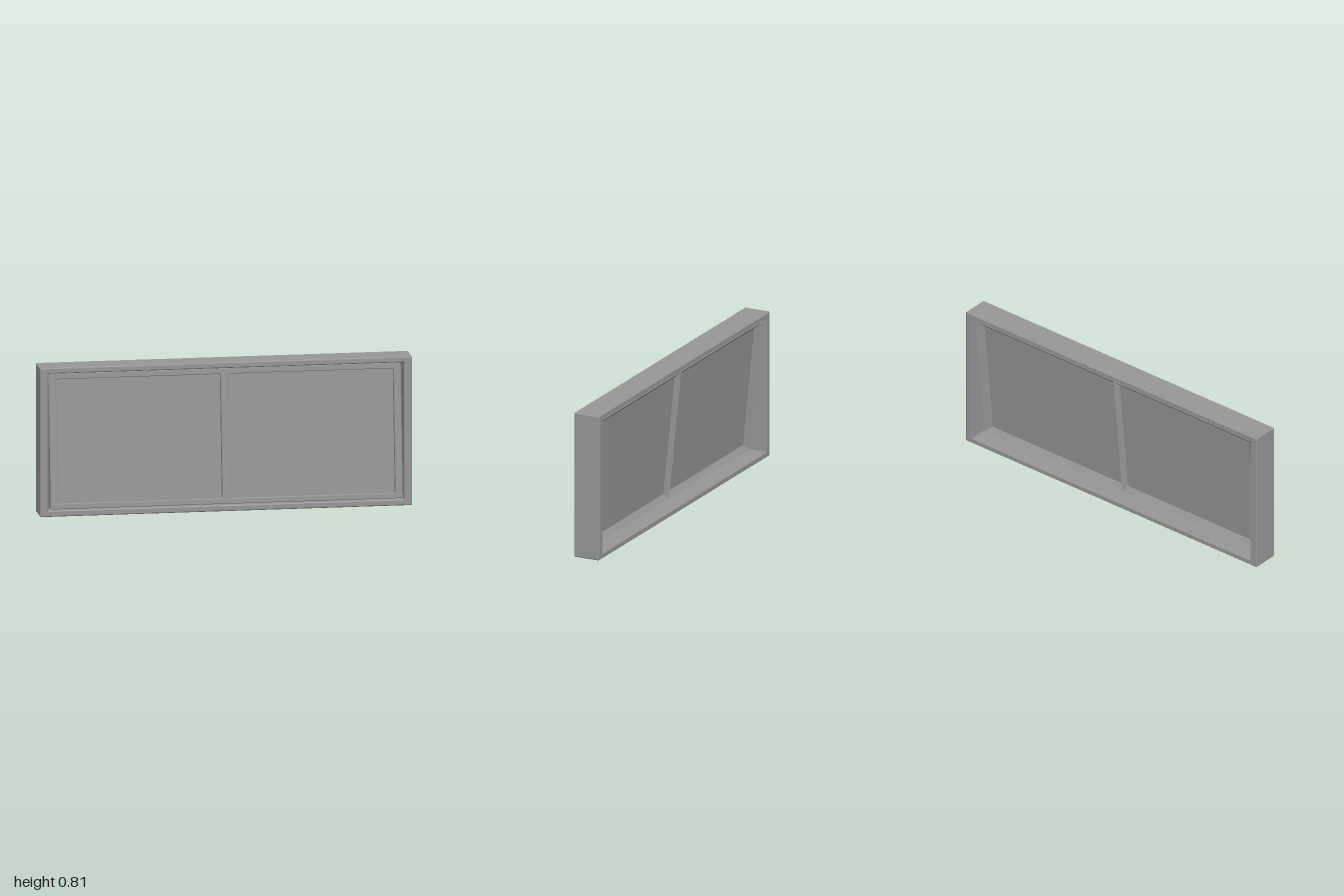
import * as THREE from 'three';

const material = new THREE.MeshStandardMaterial({ color: 0x969696 });

// Rectangle outline with small cut corners
function rect(Type, x0, y0, x1, y1, c) {
  const p = new Type();
  p.moveTo(x0 + c, y0);
  p.lineTo(x1 - c, y0);
  p.lineTo(x1, y0 + c);
  p.lineTo(x1, y1 - c);
  p.lineTo(x1 - c, y1);
  p.lineTo(x0 + c, y1);
  p.lineTo(x0, y1 - c);
  p.lineTo(x0, y0 + c);
  p.closePath();
  return p;
}

// Chamfered slab with rectangular openings, its front face at z = 0
function openFrame(name, outer, openings, depth, bevel) {
  const shape = rect(THREE.Shape, ...outer, bevel);
  openings.forEach((o) => shape.holes.push(rect(THREE.Path, ...o, 0.001)));
  const geometry = new THREE.ExtrudeGeometry(shape, {
    depth: depth - 2 * bevel,
    bevelEnabled: true,
    bevelThickness: bevel,
    bevelSize: bevel,
    bevelOffset: -bevel,
    bevelSegments: 1,
  });
  geometry.translate(0, 0, bevel - depth);
  const mesh = new THREE.Mesh(geometry, material);
  mesh.name = name;
  return mesh;
}

// Sloping rim on the back: short outer walls, then splayed faces down to the opening
function splayedRim(name, outer, opening, zWall, zRidge, zGlass) {
  const ring = ([x0, y0, x1, y1], z) => [[x0, y0, z], [x1, y0, z], [x1, y1, z], [x0, y1, z]];
  const rings = [ring(outer, zWall), ring(outer, zRidge), ring(opening, zGlass)];
  const points = [];
  for (let r = 0; r < 2; r++) {
    for (let i = 0; i < 4; i++) {
      const j = (i + 1) % 4;
      const [a, b, c, d] = [rings[r][i], rings[r][j], rings[r + 1][j], rings[r + 1][i]];
      points.push(...a, ...d, ...c, ...a, ...c, ...b);
    }
  }
  const geometry = new THREE.BufferGeometry();
  geometry.setAttribute('position', new THREE.Float32BufferAttribute(points, 3));
  geometry.computeVertexNormals();
  const mesh = new THREE.Mesh(geometry, material);
  mesh.name = name;
  return mesh;
}

export function createModel() {
  const model = new THREE.Group();
  model.name = 'awningWindow';

  // Fixed outer frame
  const frame = openFrame('outerFrame', [-1, 0, 1, 0.807], [[-0.955, 0.032, 0.955, 0.776]], 0.149, 0.005);
  frame.position.z = 0.063;
  model.add(frame);

  // Sash hinged near the top, swung out at the bottom
  const sash = new THREE.Group();
  sash.name = 'tiltedSash';
  sash.position.set(0, 0.045, 0.086);
  sash.rotation.x = -0.1;
  model.add(sash);

  const panes = [[-0.907, 0.029, -0.022, 0.694], [0.022, 0.029, 0.907, 0.694]];
  sash.add(openFrame('sashFrame', [-0.946, 0, 0.946, 0.726], panes, 0.055, 0.003));

  panes.forEach((pane, i) => {
    const [x0, y0, x1, y1] = pane;
    const side = i ? 'left' : 'right';

    // Glass set into the sash, with its edges tucked into the rails
    const glass = new THREE.Mesh(new THREE.BoxGeometry(x1 - x0 + 0.008, y1 - y0 + 0.008, 0.025), material);
    glass.name = side + 'GlassPane';
    glass.position.set((x0 + x1) / 2, (y0 + y1) / 2, -0.0425);
    sash.add(glass);

    // Splayed back of the rails; the two rims meet in a ridge behind the mullion
    const outer = i ? [0, 0, 0.946, 0.726] : [-0.946, 0, 0, 0.726];
    sash.add(splayedRim(side + 'SashRim', outer, pane, -0.052, -0.08, -0.0552));
  });

  return model;
}
